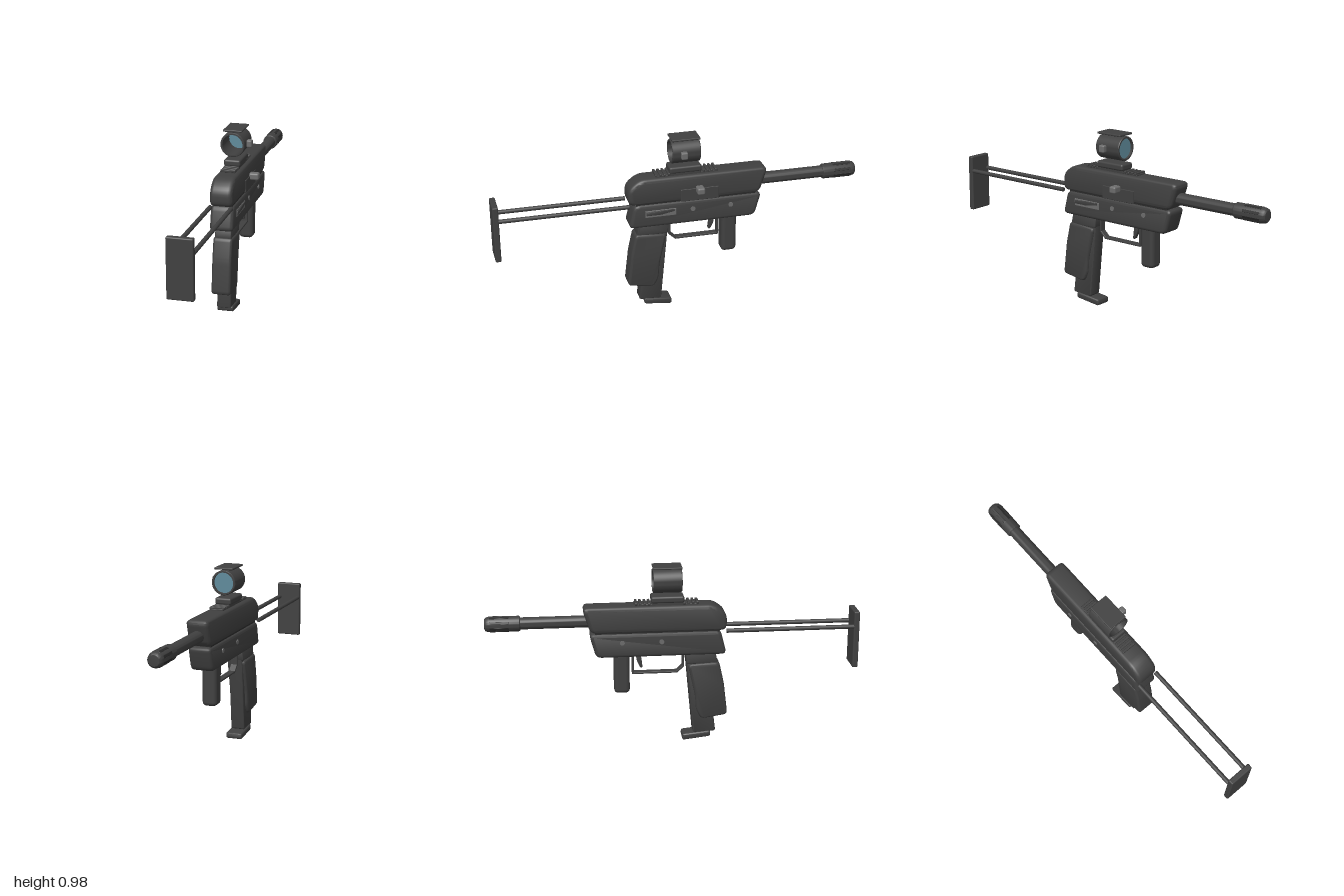
import * as THREE from 'three';
import { toCreasedNormals } from 'three/addons/utils/BufferGeometryUtils.js';
import { RoundedBoxGeometry } from 'three/addons/geometries/RoundedBoxGeometry.js';

const CX = -0.022; // centre plane of the body

const mat = (name, color, side = THREE.FrontSide) => {
  const m = new THREE.MeshStandardMaterial({ color, side });
  m.name = name;
  return m;
};

export function createModel() {
  const root = new THREE.Group();
  root.name = 'carbine';
  const body = mat('dark grey', 0x404040);
  const black = mat('near black', 0x2a2a2a);
  const steel = mat('mid grey', 0x6c6c6c);
  const glass = mat('lens blue', 0x5f8a9a, THREE.DoubleSide);

  const add = (name, geo, material, x = CX, y = 0, z = 0, parent = root) => {
    const mesh = new THREE.Mesh(geo, material);
    mesh.name = name;
    mesh.position.set(x, y, z);
    parent.add(mesh);
    return mesh;
  };

  // Side profile in [z, y] with rounded corners, extruded along x
  const slab = (pts, width, r) => {
    const v = pts.map(p => new THREE.Vector2(...p));
    const n = v.length;
    const shape = new THREE.Shape();
    v.forEach((p, i) => {
      const toward = q => p.clone().add(q.clone().sub(p).setLength(Math.min(r, p.distanceTo(q) * 0.45)));
      const a = toward(v[(i + n - 1) % n]);
      const b = toward(v[(i + 1) % n]);
      if (i) shape.lineTo(a.x, a.y); else shape.moveTo(a.x, a.y);
      shape.quadraticCurveTo(p.x, p.y, b.x, b.y);
    });
    shape.closePath();
    const bevel = r * 0.6;
    const geo = new THREE.ExtrudeGeometry(shape, {
      depth: width - 2 * bevel, bevelThickness: bevel, bevelSize: bevel,
      bevelOffset: -bevel, bevelSegments: 4, curveSegments: 5,
    });
    geo.translate(0, 0, bevel - width / 2);
    geo.rotateY(-Math.PI / 2);
    return toCreasedNormals(geo, 0.6);
  };
  // Turned part whose profile [radius, distance] runs toward -z
  const turned = (pts, seg = 40) => {
    const geo = new THREE.LatheGeometry(pts.map(p => new THREE.Vector2(...p)), seg);
    geo.rotateX(-Math.PI / 2);
    return toCreasedNormals(geo, 0.6);
  };
  const box = (w, h, d, r) => new RoundedBoxGeometry(w, h, d, 3, r);
  const crossPin = (r, len) => new THREE.CylinderGeometry(r, r, len, 24).rotateZ(Math.PI / 2);

  // Receiver halves
  add('upperReceiver', slab([[0.283, 0.628], [0.283, 0.72], [0.217, 0.772], [-0.487, 0.772], [-0.442, 0.628]], 0.12, 0.035), body);
  add('lowerReceiver', slab([[0.25, 0.628], [0.283, 0.495], [-0.415, 0.495], [-0.452, 0.628]], 0.125, 0.03), body);
  add('receiverSeam', box(0.105, 0.03, 0.66, 0.003), black, CX, 0.628, -0.09);

  // Side fittings
  add('ejectionPanel', box(0.009, 0.07, 0.21, 0.003), body, 0.038, 0.662, -0.105);
  add('chargingHandle', box(0.055, 0.038, 0.042, 0.01), steel, 0.062, 0.694, -0.102);
  add('selectorPlate', box(0.008, 0.04, 0.17, 0.003), steel, 0.039, 0.574, 0.11);
  add('selectorLever', slab([[0.19, 0.567], [0.11, 0.567], [0.035, 0.58], [0.035, 0.592], [0.11, 0.59], [0.19, 0.585]], 0.01, 0.004), body, 0.043);
  for (const z of [-0.067, -0.277]) {
    add('receiverPin', crossPin(0.013, 0.133), steel, CX, 0.579, z);
  }

  // Barrel and slotted muzzle
  add('barrel', turned([[0, 0], [0.032, 0], [0.032, 0.39], [0, 0.39]]), body, CX, 0.686, -0.44);
  add('muzzle', turned([[0, 0], [0.036, 0], [0.041, 0.006], [0.041, 0.165], [0.037, 0.18], [0.028, 0.188], [0, 0.19]]), body, CX, 0.686, -0.81);
  const slots = new THREE.Group();
  slots.name = 'muzzleSlots';
  slots.position.set(CX, 0.686, -0.92);
  root.add(slots);
  for (let i = 0; i < 8; i++) {
    const a = (i + 0.5) * Math.PI / 4;
    const slot = add('muzzleSlot', box(0.014, 0.006, 0.1, 0.002), black, -Math.sin(a) * 0.039, Math.cos(a) * 0.039, 0, slots);
    slot.rotation.z = a;
  }

  // Top rail and sight mount
  add('rail', box(0.072, 0.016, 0.34, 0.003), body, CX, 0.772, -0.04);
  for (const start of [0.057, -0.2]) {
    for (let i = 0; i < 4; i++) {
      add('railTooth', box(0.08, 0.014, 0.013, 0.003), body, CX, 0.782, start + i * 0.023);
    }
  }
  add('mountNeck', box(0.074, 0.03, 0.17, 0.004), body, CX, 0.782, -0.032);
  add('mountBase', box(0.09, 0.036, 0.176, 0.011), body, CX, 0.803, -0.032);

  // Sight tube, lens, shade and adjuster
  add('sightTube', turned([[0.055, -0.077], [0.063, -0.077], [0.066, -0.073], [0.066, 0.073], [0.063, 0.077], [0.055, 0.077], [0.055, -0.077]], 48), body, CX, 0.9, -0.033);
  add('lens', new THREE.CircleGeometry(0.0555, 48), glass, CX, 0.9, -0.097);
  add('sightShade', box(0.104, 0.011, 0.155, 0.004), body, CX, 0.975, -0.033);
  add('sightKnob', crossPin(0.014, 0.03), steel, 0.045, 0.9, -0.015);
  add('sightKnobCap', box(0.03, 0.04, 0.036, 0.008), steel, 0.057, 0.9, -0.015);

  // Grip, magazine and floor plate
  add('gripFrame', slab([[0.217, 0.51], [0.062, 0.51], [0.105, 0.04], [0.228, 0.046], [0.212, 0.18]], 0.076, 0.012), body);
  add('gripCollar', slab([[0.222, 0.51], [0.062, 0.51], [0.068, 0.44], [0.238, 0.44]], 0.09, 0.01), body);
  add('gripPanel', slab([[0.244, 0.45], [0.075, 0.436], [0.115, 0.257], [0.12, 0.177], [0.147, 0.123], [0.292, 0.145], [0.271, 0.327]], 0.104, 0.022), body);
  add('floorPlate', slab([[0.2, 0.05], [0.046, 0.034], [0.046, 0], [0.2, 0.018]], 0.09, 0.012), body);

  // Trigger guard and trigger
  const guard = [[0.052, 0.5, 0.052, 0.422], [0.052, 0.422, 0.018, 0.39], [0.018, 0.39, -0.218, 0.39], [-0.218, 0.39, -0.218, 0.5]];
  for (const [z0, y0, z1, y1] of guard) {
    const bar = add('triggerGuard', box(0.036, 0.011, Math.hypot(z1 - z0, y1 - y0) + 0.01, 0.003), body, CX, (y0 + y1) / 2, (z0 + z1) / 2);
    bar.rotation.x = -Math.atan2(y1 - y0, z1 - z0);
  }
  add('trigger', slab([[-0.178, 0.51], [-0.206, 0.51], [-0.196, 0.455], [-0.178, 0.418], [-0.166, 0.42], [-0.17, 0.455]], 0.024, 0.008), body);

  // Forward handle
  add('foreGrip', new RoundedBoxGeometry(0.08, 0.23, 0.084, 5, 0.022), body, CX, 0.398, -0.279);

  // Wire stock
  for (const side of [-1, 1]) {
    add('stockRod', new THREE.CylinderGeometry(0.0115, 0.0115, 0.7, 20).rotateX(Math.PI / 2), body, CX + side * 0.056, 0.627, 0.63);
  }
  add('buttPlate', box(0.137, 0.315, 0.031, 0.007), body, CX, 0.554, 0.9845);

  return root;
}
